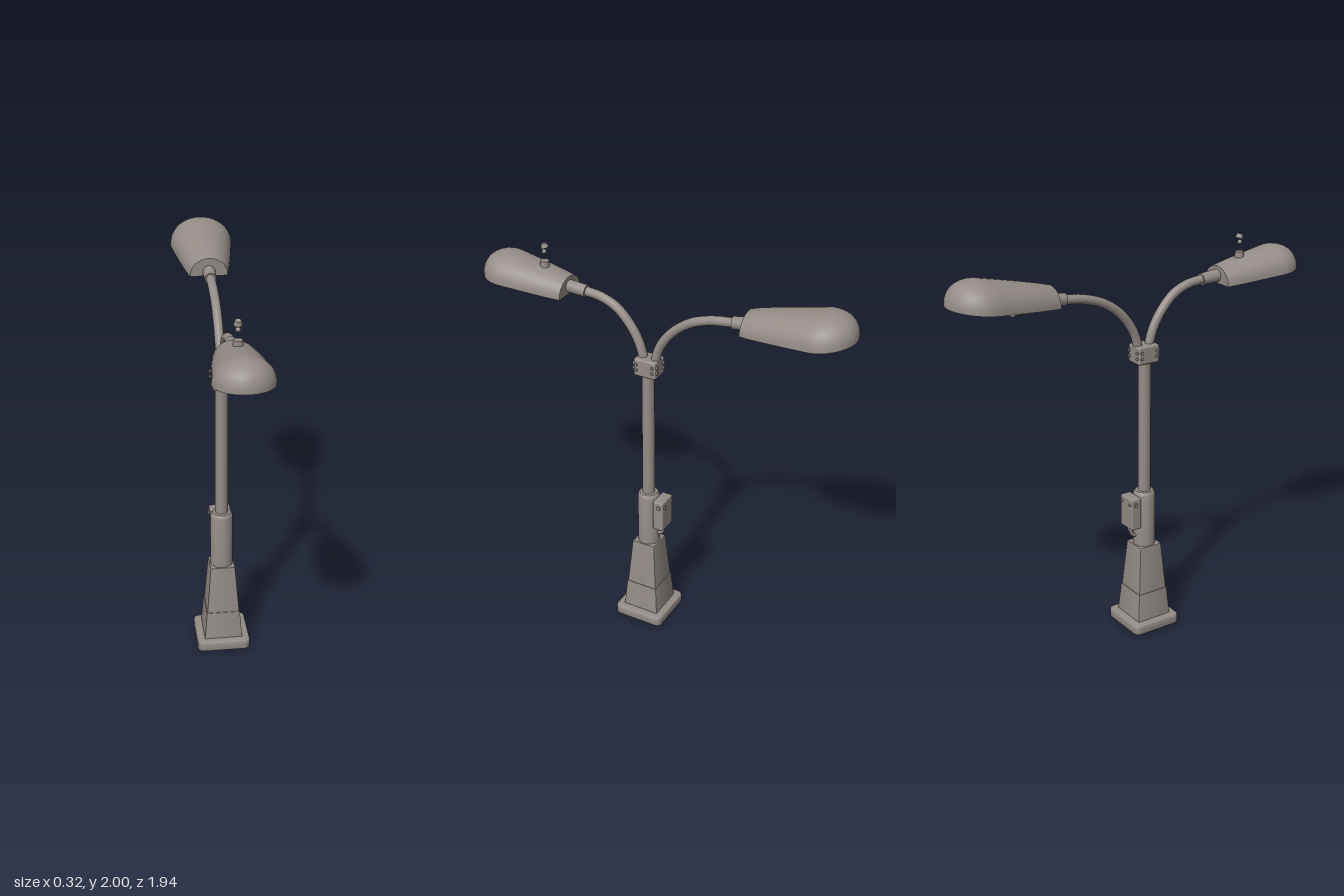
import * as THREE from 'three';
import { toCreasedNormals } from 'three/addons/utils/BufferGeometryUtils.js';
import { RoundedBoxGeometry } from 'three/addons/geometries/RoundedBoxGeometry.js';

const metal = new THREE.MeshStandardMaterial({ color: 0x948c87, side: THREE.DoubleSide });
metal.name = 'weathered grey metal';
const dark = new THREE.MeshStandardMaterial({ color: 0x0c0c0c });
dark.name = 'hollow black';
const POLE_Z = 0.066;

function add(parent, name, geometry, x = 0, y = 0, z = 0, material = metal) {
  const mesh = new THREE.Mesh(geometry, material);
  mesh.name = name;
  mesh.position.set(x, y, z);
  parent.add(mesh);
  return mesh;
}

// Cone or cylinder running between two points
function rod(parent, name, a, b, ra, rb, sides = 20) {
  const dir = b.clone().sub(a);
  const mesh = add(parent, name, new THREE.CylinderGeometry(rb, ra, dir.length(), sides));
  mesh.position.copy(a).addScaledVector(dir, 0.5);
  mesh.quaternion.setFromUnitVectors(new THREE.Vector3(0, 1, 0), dir.normalize());
  return mesh;
}

// Rounded square block that narrows towards the top
function taperedBlock(bottom, top, height) {
  const g = new RoundedBoxGeometry(2, height, 2, 2, 0.01);
  const p = g.attributes.position;
  for (let i = 0; i < p.count; i++) {
    const k = THREE.MathUtils.lerp(bottom, top, p.getY(i) / height + 0.5);
    p.setX(i, p.getX(i) * k);
    p.setZ(i, p.getZ(i) * k);
  }
  return toCreasedNormals(g, 0.6);
}

// Hollow lamp hood: a widening half tube closed by a quarter dome, open below
function hoodGeometry({ z0, z1, zDome, y0, y1, w0, w1, h0, h1 }) {
  const wall = 0.009, arc = 20, body = 8, cap = 9;
  const pos = [], idx = [], ring = 2 * (arc + 1);
  for (let s = 0; s <= body + cap; s++) {
    const t = Math.min(s / body, 1);
    const a = Math.max(0, s - body) / cap * Math.PI / 2;
    const ease = Math.pow(t, 0.8);
    const w = THREE.MathUtils.lerp(w0, w1, ease) * Math.cos(a);
    const h = THREE.MathUtils.lerp(h0, h1, ease) * Math.pow(Math.cos(a), 0.9);
    const z = z0 + (zDome - z0) * t + (z1 - zDome) * Math.sin(a);
    for (let j = 0; j < ring; j++) {
      const inner = j > arc;
      const q = (inner ? ring - 1 - j : j) / arc * Math.PI;
      const off = inner ? wall : 0;
      const zz = inner ? z - wall * Math.sin(a) + (s === 0 ? wall : 0) : z;
      const rim = y0 + (y1 - y0) * (zz - z0) / (z1 - z0);
      pos.push(Math.max(w - off, 0) * Math.cos(q), rim + Math.max(h - off, 0) * Math.pow(Math.sin(q) + 1e-9, 0.9), zz);
    }
  }
  for (let s = 0; s < body + cap; s++) {
    for (let j = 0; j < ring; j++) {
      const a = s * ring + j, b = s * ring + (j + 1) % ring;
      idx.push(a, b, a + ring, b, b + ring, a + ring);
    }
  }
  // Flat wall at the arm end, outside and inside
  for (let j = 1; j < arc; j++) {
    idx.push(0, j + 1, j);
    idx.push(ring - 1, ring - 1 - j, ring - 2 - j);
  }
  // Reverse so that the faces point outwards
  for (let i = 0; i < idx.length; i += 3) {
    if (i < (body + cap) * ring * 6) [idx[i + 1], idx[i + 2]] = [idx[i + 2], idx[i + 1]];
  }
  for (let i = 0; i < idx.length; i += 3) [idx[i + 1], idx[i + 2]] = [idx[i + 2], idx[i + 1]];
  const g = new THREE.BufferGeometry();
  g.setAttribute('position', new THREE.Float32BufferAttribute(pos, 3));
  g.setIndex(idx);
  return toCreasedNormals(g, 0.7);
}

// Curved arm, collar, lamp holder and hood, all reaching along +z
function lamp(name, { arm, collarEnd, holderEnd, holderRadius, hood }) {
  const g = new THREE.Group();
  g.name = name;
  const pts = arm.map(([z, y]) => new THREE.Vector3(0, y, z));
  const curve = new THREE.CatmullRomCurve3(pts);
  add(g, 'curvedArm', new THREE.TubeGeometry(curve, 32, 0.023, 14));
  const start = pts[pts.length - 1];
  const end = new THREE.Vector3(0, collarEnd[1], collarEnd[0]);
  rod(g, 'armCollar', start, end, 0.03, 0.032);
  rod(g, 'lampHolder', end, new THREE.Vector3(0, holderEnd[1], holderEnd[0]), 0.034, holderRadius, 24);
  add(g, 'lampHood', hoodGeometry(hood));
  return g;
}

export function createModel() {
  const model = new THREE.Group();
  model.name = 'doubleStreetLamp';

  // Rounded foot plate with a square opening
  const foot = new THREE.Shape();
  const r = 0.125, c = 0.022;
  foot.moveTo(-r + c, -r);
  foot.lineTo(r - c, -r).quadraticCurveTo(r, -r, r, -r + c);
  foot.lineTo(r, r - c).quadraticCurveTo(r, r, r - c, r);
  foot.lineTo(-r + c, r).quadraticCurveTo(-r, r, -r, r - c);
  foot.lineTo(-r, -r + c).quadraticCurveTo(-r, -r, -r + c, -r);
  const hole = new THREE.Path();
  hole.moveTo(-0.092, -0.092).lineTo(-0.092, 0.092).lineTo(0.092, 0.092).lineTo(0.092, -0.092).closePath();
  foot.holes.push(hole);
  const footGeo = new THREE.ExtrudeGeometry(foot, { depth: 0.035, bevelSize: 0.01, bevelThickness: 0.01, bevelSegments: 3, curveSegments: 5 });
  footGeo.rotateX(-Math.PI / 2);
  add(model, 'footPlate', toCreasedNormals(footGeo, 0.6), 0, 0.01, POLE_Z);
  add(model, 'footHollow', new THREE.BoxGeometry(0.18, 0.006, 0.18), 0, 0.042, POLE_Z, dark);

  // Stepped pedestal
  add(model, 'lowerPedestal', taperedBlock(0.097, 0.085, 0.155), 0, 0.1255, POLE_Z);
  add(model, 'upperPedestal', taperedBlock(0.082, 0.062, 0.255), 0, 0.33, POLE_Z);

  // Thick sleeve with a rounded shoulder, then the slim pole
  const sleeve = [[0.056, 0.44], [0.056, 0.735], [0.053, 0.747], [0.046, 0.755], [0.03, 0.757]];
  add(model, 'sleeve', toCreasedNormals(new THREE.LatheGeometry(sleeve.map(p => new THREE.Vector2(...p)), 28), 0.7), 0, 0, POLE_Z);
  add(model, 'pole', new THREE.CylinderGeometry(0.031, 0.032, 0.74, 20), 0, 1.1, POLE_Z);

  // Bolted clamp where the arms meet
  add(model, 'armClamp', new RoundedBoxGeometry(0.096, 0.092, 0.12, 2, 0.01), 0, 1.486, POLE_Z - 0.004);
  for (const s of [-1, 1]) for (const t of [-1, 1]) for (const y of [1.474, 1.502]) {
    const side = add(model, 'clampBolt', new THREE.CylinderGeometry(0.008, 0.008, 0.01, 8), s * 0.05, y, POLE_Z - 0.004 + t * 0.043);
    side.rotation.z = Math.PI / 2;
    const face = add(model, 'clampBolt', new THREE.CylinderGeometry(0.008, 0.008, 0.01, 8), t * 0.034, y, POLE_Z - 0.004 + s * 0.062);
    face.rotation.x = Math.PI / 2;
  }

  // Junction box on the back with screws and a cable
  add(model, 'junctionBox', new RoundedBoxGeometry(0.106, 0.17, 0.058, 2, 0.008), 0, 0.653, -0.014);
  for (const s of [-1, 1]) {
    const screw = add(model, 'boxScrew', new THREE.CylinderGeometry(0.008, 0.008, 0.01, 8), s * 0.035, 0.708, -0.045);
    screw.rotation.x = Math.PI / 2;
    add(model, 'boxLug', new THREE.BoxGeometry(0.01, 0.018, 0.018), s * 0.055, 0.706, -0.02);
  }
  const cable = new THREE.CatmullRomCurve3([[0.58, -0.018], [0.545, -0.018], [0.518, -0.003], [0.51, 0.03]].map(([y, z]) => new THREE.Vector3(0, y, z)));
  add(model, 'cable', new THREE.TubeGeometry(cable, 14, 0.01, 8));
  add(model, 'cableGland', new THREE.CylinderGeometry(0.016, 0.016, 0.02, 10), 0, 0.563, -0.018);

  // Front lamp, lower and level
  model.add(lamp('frontLamp', {
    arm: [[0.085, 1.5], [0.115, 1.6], [0.17, 1.69], [0.24, 1.757], [0.32, 1.79], [0.4, 1.8]],
    collarEnd: [0.505, 1.806], holderEnd: [0.7, 1.819], holderRadius: 0.064,
    hood: { z0: 0.497, z1: 0.968, zDome: 0.83, y0: 1.767, y1: 1.802, w0: 0.093, w1: 0.138, h0: 0.087, h1: 0.125 },
  }));

  // Rear lamp, higher and tilted up
  const rear = lamp('rearLamp', {
    arm: [[-0.032, 1.5], [-0.002, 1.6], [0.065, 1.695], [0.16, 1.768], [0.27, 1.808], [0.38, 1.825]],
    collarEnd: [0.46, 1.838], holderEnd: [0.66, 1.851], holderRadius: 0.06,
    hood: { z0: 0.452, z1: 0.972, zDome: 0.82, y0: 1.815, y1: 1.877, w0: 0.094, w1: 0.16, h0: 0.09, h1: 0.134 },
  });
  rear.rotation.y = Math.PI;
  model.add(rear);

  // Light sensor socket on the front hood, with its loose cap above
  add(model, 'sensorSocket', new THREE.CylinderGeometry(0.022, 0.024, 0.04, 16), 0, 1.888, 0.634);
  add(model, 'sensorCap', new THREE.CylinderGeometry(0.014, 0.02, 0.022, 12), 0, 1.986, 0.632).rotation.x = 0.3;
  add(model, 'sensorPin', new THREE.SphereGeometry(0.012, 10, 8), 0, 1.955, 0.634);
  return model;
}
